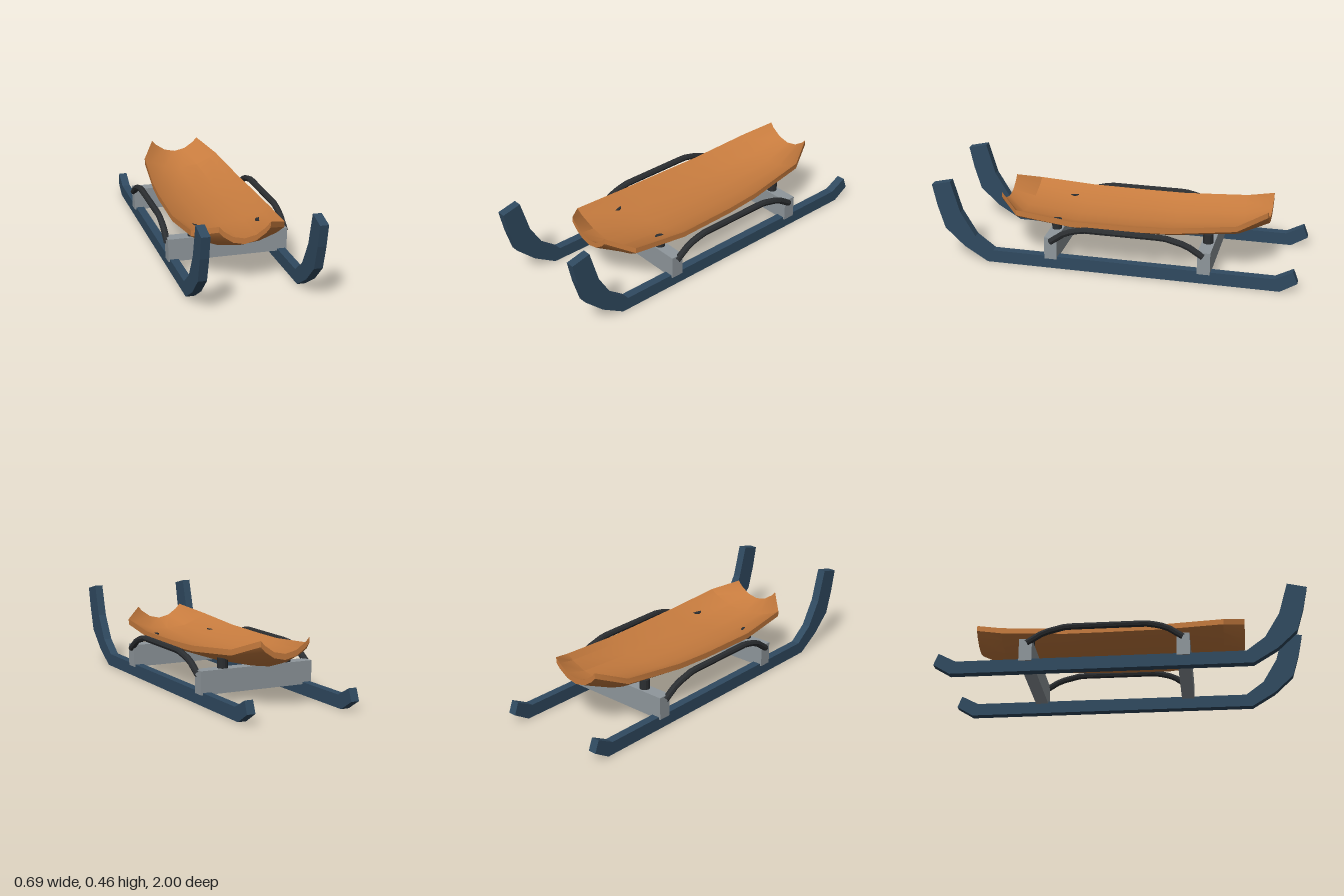
import * as THREE from 'three';
import { toCreasedNormals } from 'three/addons/utils/BufferGeometryUtils.js';

const material = (color, extra = {}) =>
  new THREE.MeshStandardMaterial({ color, ...extra });

function add(parent, name, geometry, mat, x = 0, y = 0, z = 0) {
  const mesh = new THREE.Mesh(geometry, mat);
  mesh.name = name;
  mesh.position.set(x, y, z);
  parent.add(mesh);
  return mesh;
}

// Curved shell lofted through cross-sections: [z, half width, underside height, dish depth]
function seatGeometry() {
  const sections = [
    [0.665, 0.136, 0.237, 0.076],
    [0.55, 0.25, 0.187, 0.075],
    [0.24, 0.273, 0.168, 0.067],
    [-0.1, 0.266, 0.168, 0.067],
    [-0.3, 0.255, 0.17, 0.07],
    [-0.66, 0.222, 0.2, 0.075],
    [-0.815, 0.14, 0.26, 0.076],
  ];
  // Across the seat: [fraction of half width, fraction of depth]
  const half = [[1, 1], [0.83, 0.65], [0.45, 0.18]];
  const across = [
    ...half.map(([u, v]) => [-u, v]), [0, 0], ...half.slice().reverse(),
  ];
  const thickness = 0.031;
  const n = across.length, ring = n * 2;
  const positions = [], index = [];
  for (const [z, w, y, d] of sections) {
    for (const [u, v] of across) positions.push(u * w, y + v * d + thickness, z);
    for (const [u, v] of across.slice().reverse()) positions.push(u * w, y + v * d, z);
  }
  const quad = (a, b, c, d) => index.push(a, b, c, a, c, d);
  for (let s = 0; s < sections.length - 1; s++) {
    for (let i = 0; i < ring; i++) {
      const a = s * ring + i, b = s * ring + (i + 1) % ring;
      quad(a, b, b + ring, a + ring);
    }
  }
  // End caps
  const last = (sections.length - 1) * ring;
  for (let i = 0; i < n - 1; i++) {
    const j = ring - 1 - i;
    quad(i, j, j - 1, i + 1);
    quad(last + i, last + i + 1, last + j - 1, last + j);
  }
  const geometry = new THREE.BufferGeometry();
  geometry.setAttribute('position', new THREE.Float32BufferAttribute(positions, 3));
  geometry.setIndex(index);
  return toCreasedNormals(geometry, 0.45);
}

// Side profile of a runner as (z, y), extruded across its width
function runnerGeometry(width) {
  const profile = [
    [1, 0.43], [0.975, 0.31], [0.936, 0.18], [0.83, 0.08], [0.7, 0], [-0.91, 0],
    [-1, 0.055], [-0.975, 0.12], [-0.88, 0.07], [0.665, 0.07],
    [0.765, 0.145], [0.845, 0.28], [0.895, 0.455],
  ];
  const shape = new THREE.Shape(profile.map(([z, y]) => new THREE.Vector2(-z, y)));
  const geometry = new THREE.ExtrudeGeometry(shape, { depth: width, bevelEnabled: false });
  return geometry.translate(0, 0, -width / 2).rotateY(Math.PI / 2);
}

// Hand rail arching between the two beams
function railGeometry() {
  const path = new THREE.CurvePath();
  const points = [
    [0.337, 0.16], [0.25, 0.222], [0.155, 0.247], [-0.29, 0.247], [-0.41, 0.217], [-0.5, 0.16],
  ].map(([z, y]) => new THREE.Vector3(0, y, z));
  for (let i = 1; i < points.length; i++) path.add(new THREE.LineCurve3(points[i - 1], points[i]));
  return new THREE.TubeGeometry(path, 20, 0.018, 8, false);
}

export function createModel() {
  const sled = new THREE.Group();
  sled.name = 'sled';
  const wood = material(0xc67b3e);
  const steel = material(0x8f979c);
  const blue = material(0x304a60, { flatShading: true });
  const black = material(0x2b2e31, { flatShading: true, side: THREE.DoubleSide });

  add(sled, 'seat', seatGeometry(), wood);

  const runner = runnerGeometry(0.046);
  const rail = railGeometry();
  for (const [side, sx] of [['left', 1], ['right', -1]]) {
    add(sled, `${side}Runner`, runner, blue, sx * 0.296);
    add(sled, `${side}Rail`, rail, black, sx * 0.327);
  }

  // Cross beams with the posts that carry the seat
  const beam = new THREE.BoxGeometry(0.656, 0.125, 0.07);
  const post = new THREE.CylinderGeometry(0.028, 0.028, 0.076, 12);
  for (const [end, z] of [['front', 0.335], ['rear', -0.505]]) {
    add(sled, `${end}Beam`, beam, steel, 0, 0.1205, z);
    for (const [side, sx] of [['Left', 1], ['Right', -1]]) {
      add(sled, `${end}${side}Post`, post, black, sx * 0.187, 0.198, z);
    }
  }
  return sled;
}
